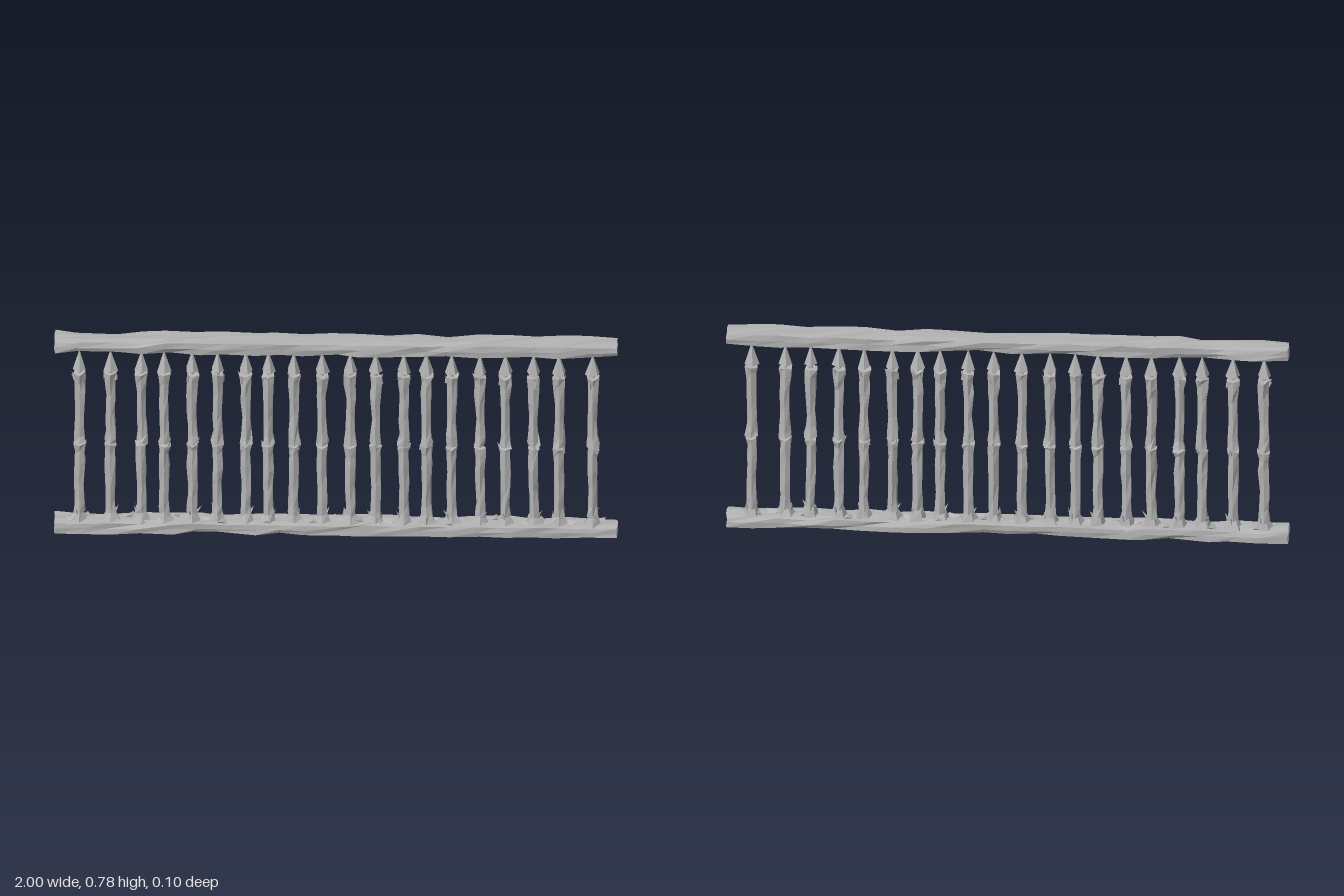
import * as THREE from 'three';

const stone = new THREE.MeshStandardMaterial({ color: 0xb2b2b2 });
stone.name = 'grey weathered stone';
stone.flatShading = true;

// Repeatable noise in -1..1; equal positions get equal values, so seams stay closed
function noise(x, y, z, seed) {
  const r = (v) => Math.round(v * 1000) / 1000 + 0;
  const s = Math.sin(r(x) * 127.1 + r(y) * 311.7 + r(z) * 74.7 + seed * 19.19) * 43758.5453;
  return (s - Math.floor(s)) * 2 - 1;
}

// Moves every vertex of a geometry by a rule
function warp(geometry, rule) {
  const p = geometry.attributes.position;
  const v = new THREE.Vector3();
  for (let i = 0; i < p.count; i++) {
    v.fromBufferAttribute(p, i);
    rule(v);
    p.setXYZ(i, v.x, v.y, v.z);
  }
  geometry.computeVertexNormals();
  return geometry;
}

function add(parent, name, geometry) {
  const mesh = new THREE.Mesh(geometry, stone);
  mesh.name = name;
  parent.add(mesh);
  return mesh;
}

// Long beam with worn, uneven edges
function rail(name, y0, y1, seed) {
  const h = y1 - y0, d = 0.09;
  const g = new THREE.BoxGeometry(2, h, d, 20, 2, 3);
  warp(g, (v) => {
    const { x, y, z } = v;
    const end = Math.abs(x) > 0.99;
    const edge = Math.abs(y) > h * 0.4 && Math.abs(z) > d * 0.4;
    const n = (k) => noise(x, y, z, seed + k);
    if (!end) v.x += n(1) * 0.025;
    else v.x -= Math.sign(x) * Math.abs(n(1)) * 0.006;
    v.y += n(2) * 0.003;
    v.z += n(3) * 0.003;
    if (edge) {
      const wear = Math.max(0, n(4)) * 0.009;
      v.y -= Math.sign(y) * wear * 0.8;
      v.z -= Math.sign(z) * wear;
    }
  });
  g.translate(0, (y0 + y1) / 2, 0);
  return g;
}

// Faceted shaft drum from [y, radius] rows
function drum(rows, seed) {
  const last = rows.length - 1;
  const g = new THREE.CylinderGeometry(1, 1, last, 6, last);
  return warp(g, (v) => {
    const row = Math.round(v.y + last / 2);
    const [y, r] = rows[row];
    const hub = Math.hypot(v.x, v.z) < 0.1;
    const k = hub ? 0 : r * (1 + 0.2 * noise(v.x, row, v.z, seed));
    const lift = hub ? 0 : noise(v.x, row, v.z, seed + 7) * (row === 0 || row === last ? 0.006 : 0.02);
    v.set(v.x * k + noise(row, 1, 2, seed) * 0.002, y + lift, v.z * k);
  });
}

// Thin chipped splinter, leaning outwards at an angle around the shaft
function splinter(y, radius, length, angle, lean) {
  const g = new THREE.ConeGeometry(0.009, length, 3);
  g.rotateZ(-lean);
  g.translate(radius, y, 0);
  return g.rotateY(angle);
}

function baluster(x, i) {
  const group = new THREE.Group();
  group.name = 'baluster';
  group.position.x = x;
  const s = i * 13 + 3;

  // Stepped foot sitting on the lower rail
  const foot = new THREE.CylinderGeometry(0.017, 0.036, 0.04, 5, 1);
  warp(foot, (v) => {
    const k = 1 + 0.25 * noise(v.x, v.y, v.z, s);
    v.x *= k;
    v.z *= k;
  }).translate(0, 0.058, 0);
  add(group, 'foot', foot);

  add(group, 'lowerShaft', drum(
    [[0.07, 0.021], [0.11, 0.018], [0.18, 0.018], [0.26, 0.02], [0.32, 0.019], [0.346, 0.023]], s + 1));
  add(group, 'upperShaft', drum(
    [[0.356, 0.024], [0.39, 0.019], [0.46, 0.017], [0.54, 0.019], [0.6, 0.021], [0.632, 0.025]], s + 2));

  // Narrow joints hold the broken sections together
  for (const [name, y] of [['middleJoint', 0.35], ['neck', 0.637]]) {
    add(group, name, new THREE.CylinderGeometry(0.008, 0.008, 0.04, 5).translate(0, y, 0));
  }

  // Pointed finial
  const tip = new THREE.ConeGeometry(0.026, 0.078, 5);
  tip.rotateY(i * 1.3);
  warp(tip, (v) => {
    if (v.y < 0 && Math.hypot(v.x, v.z) > 0.01) {
      v.y += noise(v.x, 0, v.z, s) * 0.005;
      v.x *= 1 + 0.15 * noise(v.x, 1, v.z, s);
    }
  }).translate(0, 0.684, 0);
  add(group, 'finial', tip);

  // Chips at the foot, middle and top of the shaft
  [0.075, 0.08, 0.35, 0.625, 0.615].forEach((y, k) => {
    const angle = noise(i, k, 0, 5) * Math.PI;
    const length = 0.035 + 0.012 * noise(i, k, 1, 5);
    add(group, 'chip', splinter(y, 0.021, length, angle, 0.35 + 0.3 * noise(i, k, 2, 5)));
  });
  return group;
}

export function createModel() {
  const model = new THREE.Group();
  model.name = 'balustrade';

  add(model, 'bottomRail', rail('bottomRail', 0.005, 0.045, 11));
  add(model, 'topRail', rail('topRail', 0.73, 0.775, 29));

  const positions = [-0.91, -0.8, -0.69, -0.61, -0.51, -0.42, -0.32, -0.24, -0.15, -0.05,
    0.05, 0.14, 0.24, 0.32, 0.41, 0.51, 0.6, 0.7, 0.79, 0.91];
  positions.forEach((x, i) => model.add(baluster(x, i)));

  // Low rubble lying along the lower rail
  for (let i = 0; i < 36; i++) {
    const r = 0.018 + 0.006 * noise(i, 0, 0, 2);
    const rock = new THREE.TetrahedronGeometry(r);
    rock.rotateY(i * 2.1);
    rock.scale(1.5, 0.7, 1);
    rock.translate(-0.94 + i * 0.0537, 0.046, noise(i, 1, 0, 2) * 0.025);
    add(model, 'rubble', rock);
  }
  return model;
}
